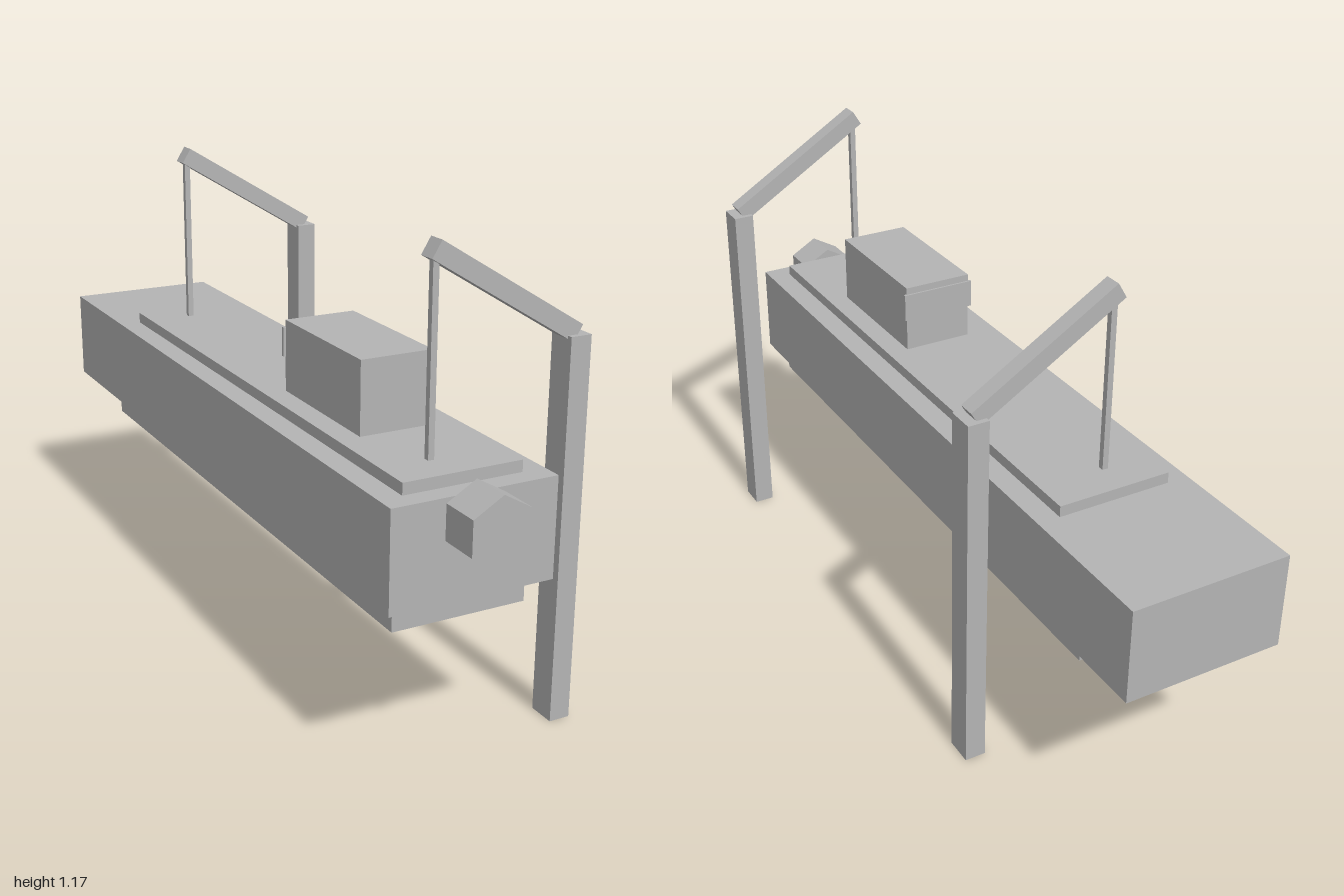
import * as THREE from 'three';

export function createModel() {
  const group = new THREE.Group();
  const grey = new THREE.MeshStandardMaterial({ color: 0xb4b4b4, flatShading: true });
  grey.name = 'plain grey';

  const add = (name, geometry, parent = group) => {
    const mesh = new THREE.Mesh(geometry, grey);
    mesh.name = name;
    parent.add(mesh);
    return mesh;
  };
  // Box given by its limits along each axis
  const box = (name, [x0, x1], [y0, y1], [z0, z1], parent) => {
    const mesh = add(name, new THREE.BoxGeometry(x1 - x0, y1 - y0, z1 - z0), parent);
    mesh.position.set((x0 + x1) / 2, (y0 + y1) / 2, (z0 + z1) / 2);
    return mesh;
  };

  // Suspended body with its plates
  box('body', [-0.28, 0.128], [0.43, 0.67], [-1, 0.9]);
  box('bottomPlate', [-0.243, 0.09], [0.365, 0.43], [-0.768, 0.85]);
  box('topPlate', [-0.224, 0.071], [0.67, 0.698], [-0.637, 0.85]);

  // Cabin and the thin panel on its back
  box('cabin', [-0.168, 0.015], [0.698, 0.875], [0.2, 0.57]);
  box('cabinBackPanel', [-0.175, 0.022], [0.785, 0.857], [0.195, 0.203]);

  // Hexagonal nose with a corner pointing up
  const nose = add('nose', new THREE.CylinderGeometry(0.083, 0.083, 0.1, 6).rotateX(Math.PI / 2));
  nose.position.set(-0.077, 0.616, 0.95);

  // Two davits: post, sloping arm and hanging cable
  const tip = new THREE.Vector2(-0.112, 1.155);
  const root = new THREE.Vector2(0.25, 0.934);
  for (const [side, z] of [['front', 0.758], ['back', -0.547]]) {
    const davit = new THREE.Group();
    davit.name = `${side}Davit`;
    davit.position.z = z;
    group.add(davit);
    box('post', [0.223, 0.276], [0, 0.932], [-0.035, 0.035], davit);
    const arm = add('arm', new THREE.BoxGeometry(tip.distanceTo(root), 0.044, 0.044), davit);
    arm.position.set((tip.x + root.x) / 2, (tip.y + root.y) / 2, 0);
    arm.rotation.z = Math.atan2(root.y - tip.y, root.x - tip.x);
    box('cable', [-0.112, -0.097], [0.698, 1.15], [-0.0075, 0.0075], davit);
  }
  return group;
}
